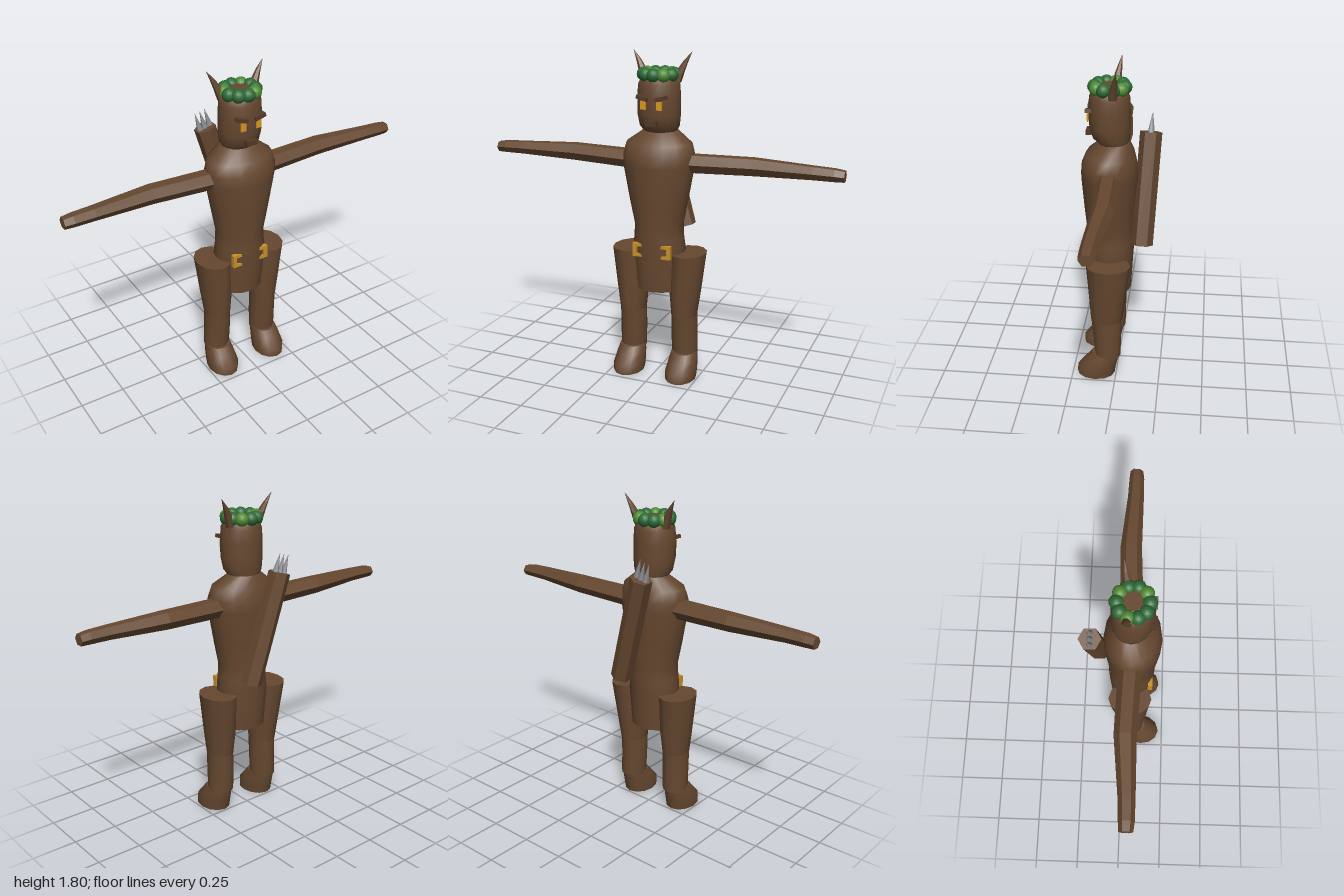
import * as THREE from 'three';

const mat = (name, color, extra = {}) => {
  const m = new THREE.MeshStandardMaterial({ color, ...extra });
  m.name = name;
  return m;
};

// Capped loft up the y axis. Rows are [y, centreX, centreZ, radiusX, radiusZ].
function loft(rows, sides, flat = false) {
  const pos = [], idx = [];
  const ring = ([y, cx, cz, rx, rz]) => {
    for (let j = 0; j < sides; j++) {
      const t = (j / sides) * Math.PI * 2;
      pos.push(cx + rx * Math.sin(t), y, cz + rz * Math.cos(t));
    }
  };
  rows.forEach(ring);
  for (let i = 0; i < rows.length - 1; i++) {
    for (let j = 0; j < sides; j++) {
      const k = (j + 1) % sides;
      const a = i * sides + j, b = i * sides + k, c = a + sides, d = b + sides;
      idx.push(a, b, d, a, d, c);
    }
  }
  // caps have their own vertices so their rims stay sharp
  [[rows[0], false], [rows[rows.length - 1], true]].forEach(([row, up]) => {
    const start = pos.length / 3;
    ring(row);
    for (let j = 1; j < sides - 1; j++) {
      if (up) idx.push(start, start + j, start + j + 1);
      else idx.push(start, start + j + 1, start + j);
    }
  });
  let g = new THREE.BufferGeometry();
  g.setAttribute('position', new THREE.Float32BufferAttribute(pos, 3));
  g.setIndex(idx);
  if (flat) g = g.toNonIndexed();
  g.computeVertexNormals();
  return g;
}

export function createModel() {
  const model = new THREE.Group();
  model.name = 'woodlandArcher';
  const bark = mat('bark brown', 0x664830);
  const darkBark = mat('dark bark', 0x543a27);
  const gold = mat('gold', 0xc8922a);
  const amber = mat('amber', 0xd9981f);
  const darkLeaf = mat('dark leaf', 0x2c6a35);
  const lightLeaf = mat('light leaf', 0x4f8a32);
  const steel = mat('steel', 0x8f9092);

  const add = (name, geo, material, parent = model) => {
    const m = new THREE.Mesh(geo, material);
    m.name = name;
    parent.add(m);
    return m;
  };
  const box = (name, size, at, material, tilt = 0) => {
    const m = add(name, new THREE.BoxGeometry(...size), material);
    m.position.set(...at);
    m.rotation.z = tilt;
    return m;
  };

  // Torso and head
  add('torso', loft([
    [0.5, 0, 0.045, 0.13, 0.115],
    [0.72, 0, 0.048, 0.15, 0.13],
    [0.8, 0, 0.048, 0.138, 0.13],
    [0.87, 0, 0.048, 0.135, 0.13],
    [1.0, 0, 0.05, 0.162, 0.14],
    [1.2, 0, 0.05, 0.2, 0.155],
    [1.26, 0, 0.05, 0.2, 0.15],
    [1.32, 0, 0.045, 0.185, 0.13],
    [1.385, 0, 0.022, 0.095, 0.08],
  ], 16), bark);
  add('head', loft([
    [1.37, 0, 0.022, 0.085, 0.075],
    [1.41, 0, 0.04, 0.108, 0.1],
    [1.47, 0, 0.047, 0.116, 0.11],
    [1.56, 0, 0.048, 0.117, 0.11],
    [1.63, 0, 0.048, 0.112, 0.107],
    [1.67, 0, 0.047, 0.095, 0.09],
    [1.695, 0, 0.045, 0.05, 0.05],
  ], 16), bark);
  box('mouth', [0.062, 0.028, 0.03], [0, 1.437, 0.157], darkBark);

  // Belt buckle frame, with the belly bulging through its middle
  const frame = new THREE.Shape([
    [-0.11, 0.7], [0.11, 0.7], [0.11, 0.775], [-0.11, 0.775],
  ].map(p => new THREE.Vector2(...p)));
  frame.holes.push(new THREE.Path([
    [-0.088, 0.717], [-0.088, 0.758], [0.088, 0.758], [0.088, 0.717],
  ].map(p => new THREE.Vector2(...p))));
  const buckle = add('beltBuckle',
    new THREE.ExtrudeGeometry(frame, { depth: 0.025, bevelEnabled: false }), gold);
  buckle.position.z = 0.142;

  // Paired parts
  for (const s of [1, -1]) {
    const side = s > 0 ? 'left' : 'right';

    // face
    box(side + 'Eye', [0.03, 0.045, 0.008], [s * 0.045, 1.53, 0.157], amber);
    box(side + 'Brow', [0.062, 0.02, 0.035], [s * 0.052, 1.567, 0.15], darkBark, s * 0.25);

    // horn
    add(side + 'Horn', loft([
      [1.64, s * 0.092, 0.025, 0.022, 0.026],
      [1.7, s * 0.108, 0.017, 0.024, 0.022],
      [1.75, s * 0.134, 0.008, 0.014, 0.013],
      [1.8, s * 0.166, 0, 0.001, 0.001],
    ], 6, true), bark);

    // arm: upper arm, forearm and hand, lofted upright then laid along x
    const stations = [
      [0.16, 1.217, 0.04, 0.062], [0.52, 1.225, 0.026, 0.058],
      [0.84, 1.225, 0.043, 0.044], [0.95, 1.223, 0.045, 0.041], [1, 1.22, 0.044, 0.036],
    ].map(([x, y, z, r]) => [x, -s * y, z, r * 0.88, r]);
    [['UpperArm', 0, 2], ['Forearm', 1, 3], ['Hand', 2, 5]].forEach(([part, from, to]) => {
      const g = loft(stations.slice(from, to), 6, true);
      g.rotateZ(-s * Math.PI / 2);
      add(side + part, g, bark);
    });

    // leg and foot
    add(side + 'Thigh', loft([
      [0.36, s * 0.154, 0.055, 0.071, 0.088],
      [0.5, s * 0.157, 0.05, 0.087, 0.102],
      [0.72, s * 0.172, 0.043, 0.097, 0.122],
    ], 12), bark);
    add(side + 'Shin', loft([
      [0.125, s * 0.157, 0.048, 0.073, 0.073],
      [0.25, s * 0.154, 0.052, 0.073, 0.08],
      [0.37, s * 0.154, 0.055, 0.071, 0.087],
    ], 12), bark);
    add(side + 'Foot', loft([
      [0, s * 0.158, 0.117, 0.084, 0.108],
      [0.045, s * 0.158, 0.112, 0.088, 0.11],
      [0.1, s * 0.158, 0.082, 0.081, 0.092],
      [0.14, s * 0.157, 0.064, 0.073, 0.075],
    ], 12), bark);
  }

  // Leafy crown
  const crown = new THREE.Group();
  crown.name = 'leafCrown';
  model.add(crown);
  const leaf = new THREE.SphereGeometry(0.037, 14, 10);
  for (let i = 0; i < 10; i++) {
    const t = (i / 10) * Math.PI * 2;
    const m = add('leafCluster', leaf, i % 3 === 1 ? lightLeaf : darkLeaf, crown);
    m.position.set(Math.sin(t) * 0.082, 1.682, 0.047 + Math.cos(t) * 0.08);
  }

  // Quiver slung diagonally across the back, with three arrow points
  const quiver = new THREE.Group();
  quiver.name = 'quiver';
  const low = new THREE.Vector3(0.085, 0.815, -0.135);
  const high = new THREE.Vector3(-0.085, 1.41, -0.165);
  const len = low.distanceTo(high);
  quiver.position.copy(low).lerp(high, 0.5);
  quiver.quaternion.setFromUnitVectors(
    new THREE.Vector3(0, 1, 0), high.clone().sub(low).normalize());
  model.add(quiver);
  add('quiverTube', loft([
    [-len / 2, 0, 0, 0.06, 0.06], [len / 2, 0, 0, 0.06, 0.06],
  ], 6, true), bark, quiver);
  for (const x of [-0.03, 0, 0.03]) {
    const tip = add('arrowPoint', loft([
      [0, 0, 0, 0.018, 0.018], [0.105, 0, 0, 0.0008, 0.0008],
    ], 6, true), steel, quiver);
    tip.position.set(x, len / 2 - 0.005, 0);
  }

  return model;
}
